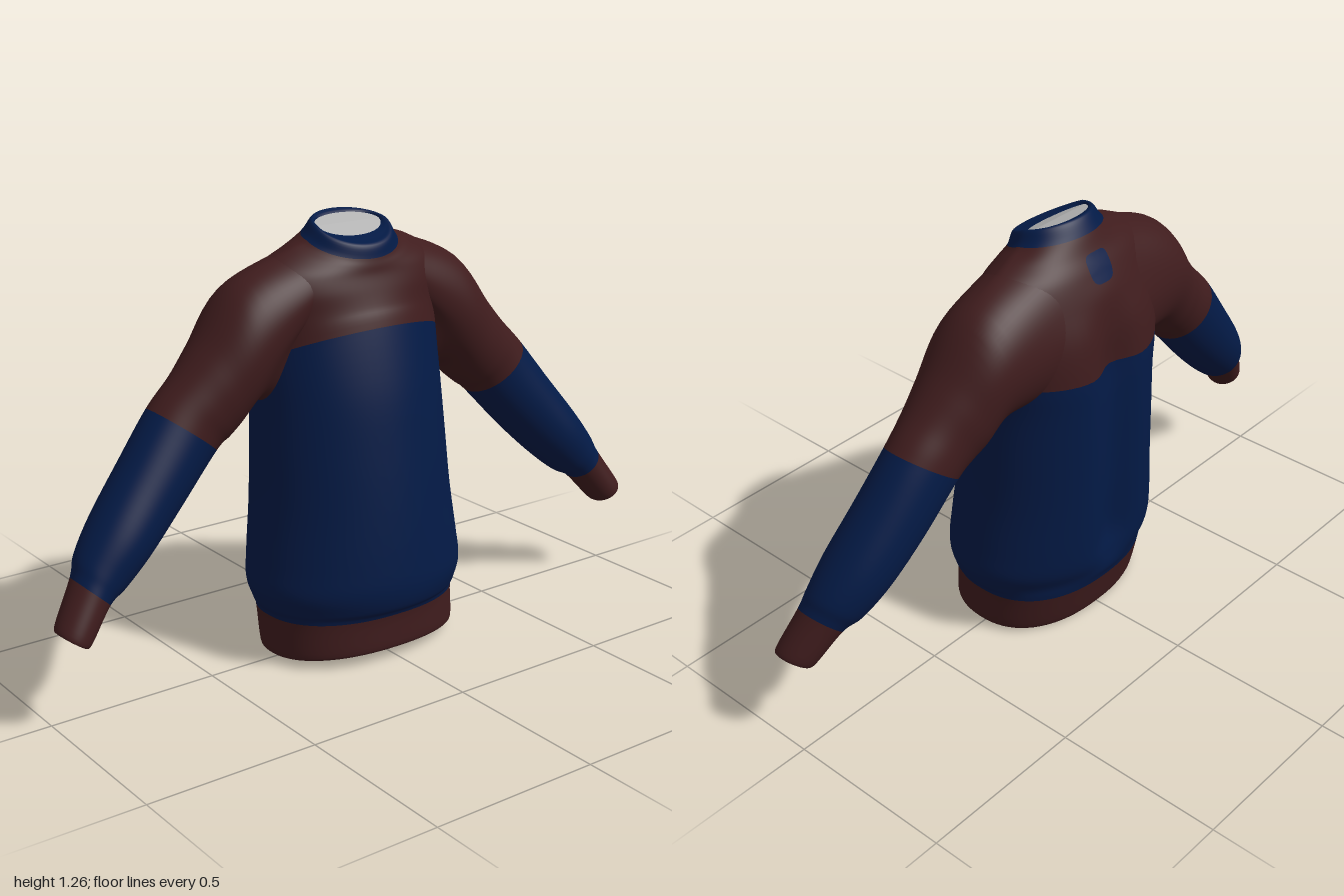
import * as THREE from 'three';

const maroon = new THREE.MeshStandardMaterial({ name: 'maroon knit', color: 0x3f1c1d });
const navy = new THREE.MeshStandardMaterial({ name: 'navy knit', color: 0x031a46 });
const grey = new THREE.MeshStandardMaterial({ name: 'grey lining', color: 0xb4b4b4 });

const spow = (v, e) => Math.sign(v) * Math.pow(Math.abs(v), e);

// Torso rings from the inner hem up to the inner collar:
// height at side, front, back; half width; front z; back z
const torsoRows = [
  [0.085, 0.08, 0.1, 0.283, 0.203, -0.203],
  [0.024, 0.04, 0.01, 0.288, 0.205, -0.183],
  [0.024, 0.04, 0.01, 0.302, 0.219, -0.197],
  [0.13, 0.135, 0.12, 0.303, 0.22, -0.225],
  [0.165, 0.165, 0.165, 0.325, 0.248, -0.242],
  [0.22, 0.22, 0.22, 0.34, 0.26, -0.262],
  [0.3, 0.3, 0.3, 0.331, 0.256, -0.272],
  [0.45, 0.45, 0.45, 0.312, 0.24, -0.277],
  [0.62, 0.62, 0.62, 0.302, 0.218, -0.278],
  [0.76, 0.79, 0.75, 0.296, 0.192, -0.276],
  [0.865, 0.965, 0.85, 0.302, 0.15, -0.27],
  [0.95, 1.02, 0.96, 0.315, 0.128, -0.25],
  [1.05, 1.065, 1.05, 0.315, 0.112, -0.215],
  [1.13, 1.1, 1.12, 0.28, 0.1, -0.185],
  [1.175, 1.125, 1.17, 0.2, 0.095, -0.158],
  [1.195, 1.145, 1.215, 0.147, 0.09, -0.136],
  [1.228, 1.18, 1.253, 0.123, 0.082, -0.112],
  [1.232, 1.19, 1.252, 0.112, 0.055, -0.096],
  [1.228, 1.2, 1.245, 0.107, 0.024, -0.086],
];

function torsoRing(i, a) {
  const [ySide, yFront, yBack, w, zF, zB] = torsoRows[i];
  const s = Math.sin(a), mid = (zF + zB) / 2, half = (zF - zB) / 2;
  const n = i < 4 ? 2.3 : i < 12 && s > 0 ? 1.92 : 2;
  const x = w * spow(Math.cos(a), 2 / n);
  let z = mid + half * spow(s, 2 / n);
  // soft fold down the middle of the back, fading out at both ends
  if (s < 0 && i > 4 && i < 12) {
    z += 0.05 * Math.min(1, (12 - i) / 2, (i - 4) / 2) * Math.exp(-((x / 0.07) ** 2));
  }
  const y = ySide + (s > 0 ? (yFront - ySide) * s : (ySide - yBack) * s);
  return new THREE.Vector3(x, y, z);
}

// Sleeve rings from shoulder to inner cuff: top x, y; underside x, y; centre z; half depth
const sleeveRows = [
  null, // joins the torso
  [0.375, 1.095, 0.335, 0.765, -0.053, 0.14],
  [0.49, 0.955, 0.385, 0.715, -0.047, 0.124],
  [0.56, 0.875, 0.42, 0.685, -0.042, 0.11],
  [0.64, 0.795, 0.46, 0.655, -0.04, 0.102],
  [0.74, 0.67, 0.585, 0.525, -0.025, 0.102],
  [0.84, 0.545, 0.695, 0.42, -0.006, 0.1],
  [0.9, 0.46, 0.78, 0.35, 0.01, 0.085],
  [0.925, 0.405, 0.835, 0.32, 0.027, 0.07],
  [0.992, 0.3, 0.907, 0.238, 0.056, 0.06],
  [0.984, 0.294, 0.916, 0.245, 0.056, 0.05],
  [0.913, 0.395, 0.847, 0.332, 0.028, 0.055],
];

function sleeveRing(i, a) {
  const s = Math.sin(a), c = Math.cos(a);
  if (i === 0) {
    // armhole, drawn on the torso surface and narrower towards the armpit
    const p = torso(11.35 + 2.35 * s, (c < 0 ? 1 : 0.86) * c * (1 + 0.35 * s));
    p.x *= 0.98;
    return p;
  }
  const [tx, ty, bx, by, z, d] = sleeveRows[i];
  return new THREE.Vector3(
    (tx + bx) / 2 + ((tx - bx) / 2) * s,
    (ty + by) / 2 + ((ty - by) / 2) * s,
    z + d * c);
}

// Smooth surface through a stack of rings
function surface(ring, count) {
  return (t, a) => {
    const i = Math.min(Math.floor(t), count - 2), f = t - i;
    const [p0, p1, p2, p3] = [-1, 0, 1, 2].map(k =>
      ring(THREE.MathUtils.clamp(i + k, 0, count - 1), a));
    const cr = k => {
      const v0 = (p2[k] - p0[k]) / 2, v1 = (p3[k] - p1[k]) / 2, d = p2[k] - p1[k];
      return p1[k] + f * (v0 + f * (3 * d - 2 * v0 - v1 + f * (v0 + v1 - 2 * d)));
    };
    return new THREE.Vector3(cr('x'), cr('y'), cr('z'));
  };
}
const torso = surface(torsoRing, torsoRows.length);
const sleeve = surface(sleeveRing, sleeveRows.length);

// Disc that fills one ring of a surface
const disc = (surf, t) => (r, a) => {
  const centre = surf(t, 0).add(surf(t, Math.PI)).multiplyScalar(0.5);
  return centre.lerp(surf(t, a), r);
};

// Closed band of a surface; offset moves it along its normals, flip turns its face round
function band(name, material, surf, t0, t1, { side = 1, offset = 0, flip = false } = {}) {
  const rows = Math.ceil((t1 - t0) * 6), cols = 72, pos = [], index = [];
  for (let i = 0; i <= rows; i++) {
    for (let j = 0; j < cols; j++) {
      const p = surf(t0 + ((t1 - t0) * i) / rows, (j / cols) * Math.PI * 2);
      pos.push(p.x * side, p.y, p.z);
      if (i === rows) continue;
      const k = (j + 1) % cols;
      const a = i * cols + j, b = a + cols, c = i * cols + k, d = c + cols;
      if (side > 0 !== flip) index.push(a, b, c, b, d, c);
      else index.push(a, c, b, b, c, d);
    }
  }
  const geo = new THREE.BufferGeometry();
  geo.setAttribute('position', new THREE.Float32BufferAttribute(pos, 3));
  geo.setIndex(index);
  geo.computeVertexNormals();
  const p = geo.attributes.position, n = geo.attributes.normal;
  for (let i = 0; i < p.count; i++) {
    p.setXYZ(i, p.getX(i) + n.getX(i) * offset, p.getY(i) + n.getY(i) * offset, p.getZ(i) + n.getZ(i) * offset);
  }
  const mesh = new THREE.Mesh(geo, material);
  mesh.name = name;
  return mesh;
}

export function createModel() {
  const sweater = new THREE.Group();
  sweater.name = 'sweater';

  // Torso, with folded hem and collar, closed by grey lining at neck and hem
  sweater.add(
    band('hem', maroon, torso, 0, 3),
    band('lowerBody', navy, torso, 3, 10),
    band('yoke', maroon, torso, 10, 15),
    band('collar', navy, torso, 15, 18),
    band('neckLining', grey, disc(torso, 18), 0, 1, { flip: true }),
    band('hemLining', grey, disc(torso, 0), 0, 1));

  // Small rounded patch below the back of the collar
  const patch = (r, a) => {
    const v = 13.3 + 0.72 * r * spow(Math.cos(a), 0.5);
    const width = 0.28 - 0.08 * (v - 13);
    return torso(v, -Math.PI / 2 + (0.042 / width) * r * spow(Math.sin(a), 0.5));
  };
  sweater.add(band('backPatch', navy, patch, 0, 1, { offset: 0.003 }));

  // Sleeves
  for (const side of [1, -1]) {
    const arm = new THREE.Group();
    arm.name = side > 0 ? 'leftSleeve' : 'rightSleeve';
    arm.add(
      band('upperSleeve', maroon, sleeve, 0, 4, { side }),
      band('lowerSleeve', navy, sleeve, 4, 8, { side }),
      band('cuff', maroon, sleeve, 8, 11, { side }),
      band('cuffLining', maroon, disc(sleeve, 11), 0, 1, { side, flip: true }));
    sweater.add(arm);
  }
  return sweater;
}
